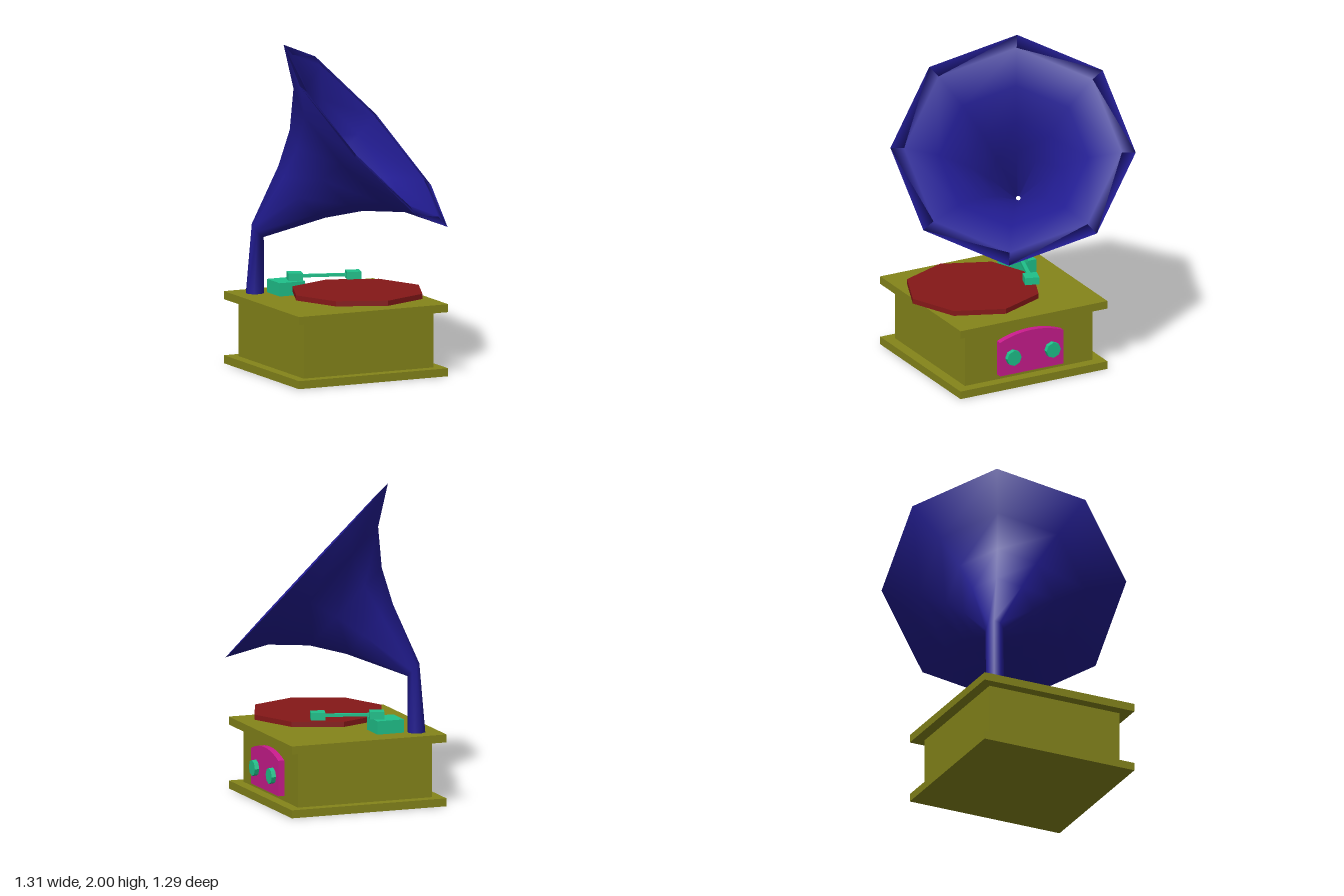
import * as THREE from 'three';

const mat = (color, flat = true) => new THREE.MeshStandardMaterial({ color, flatShading: flat });
const wood = mat(0x85851a), red = mat(0x851818), teal = mat(0x1fc08a), pink = mat(0xc81c8c);
const navy = mat(0x221c92, false);

// Box given by its extents on each axis
function box(name, [x0, x1], [y0, y1], [z0, z1], material) {
  const m = new THREE.Mesh(new THREE.BoxGeometry(x1 - x0, y1 - y0, z1 - z0), material);
  m.position.set((x0 + x1) / 2, (y0 + y1) / 2, (z0 + z1) / 2);
  m.name = name;
  return m;
}

// Eight-sided horn: upright stem, straight flared bell, flat lip and inner wall
function hornGeometry() {
  const sides = 8;
  const mouth = new THREE.Vector3(0.07, 1.44, 0);
  const axis = new THREE.Vector3(0.632, 0.67, 0.39).normalize();
  const u = new THREE.Vector3(-0.43, 0.56, -0.265);
  u.addScaledVector(axis, -u.dot(axis)).normalize();
  const v = axis.clone().cross(u);
  const upright = new THREE.Quaternion().setFromUnitVectors(axis, new THREE.Vector3(0, 1, 0));

  // [distance behind the mouth, radius], outside then back down the inside
  const bell = [
    [0.896, 0.055], [0.529, 0.216], [0.326, 0.337], [0.137, 0.5125], [0, 0.755],
    [0, 0.67], [0.11, 0.46], [0.30, 0.29], [0.51, 0.17], [0.86, 0.015],
  ];
  const rings = bell.map(([d, r]) => ({ c: mouth.clone().addScaledVector(axis, -d), r, u, v }));
  rings.unshift({
    c: new THREE.Vector3(-0.513, 0.45, -0.355), r: 0.056,
    u: u.clone().applyQuaternion(upright), v: v.clone().applyQuaternion(upright),
  });

  const pos = [], index = [];
  rings.forEach((ring, i) => {
    for (let j = 0; j < sides; j++) {
      const a = (j / sides) * Math.PI * 2;
      const p = ring.c.clone()
        .addScaledVector(ring.u, ring.r * Math.cos(a))
        .addScaledVector(ring.v, ring.r * Math.sin(a));
      pos.push(p.x, p.y, p.z);
      if (i === 0) continue;
      const k = (j + 1) % sides, lo = (i - 1) * sides, hi = i * sides;
      index.push(lo + j, lo + k, hi + k, lo + j, hi + k, hi + j);
    }
  });
  const g = new THREE.BufferGeometry();
  g.setAttribute('position', new THREE.Float32BufferAttribute(pos, 3));
  g.setIndex(index);
  g.computeVertexNormals();
  return g;
}

export function createModel() {
  const model = new THREE.Group();
  model.name = 'gramophone';

  // Cabinet
  const wide = [-0.655, 0.37], deep = [-0.497, 0.533];
  model.add(
    box('plinth', wide, [0, 0.05], deep, wood),
    box('cabinetBody', [-0.588, 0.302], [0.05, 0.4], [-0.43, 0.465], wood),
    box('cabinetTop', wide, [0.4, 0.45], deep, wood),
  );

  // Turntable platter
  const platter = new THREE.Mesh(new THREE.CylinderGeometry(0.421, 0.421, 0.032, 8), red);
  platter.position.set(-0.085, 0.505, 0.197);
  platter.name = 'platter';
  model.add(platter);

  // Arched control panel on the side
  const half = 0.2225, rise = 0.045, R = (half * half + rise * rise) / (2 * rise);
  const sweep = Math.asin(half / R);
  const shape = new THREE.Shape();
  shape.moveTo(-half, 0.083);
  shape.lineTo(half, 0.083);
  shape.absarc(0, 0.35 - R, R, Math.PI / 2 - sweep, Math.PI / 2 + sweep, false);
  const panel = new THREE.Mesh(
    new THREE.ExtrudeGeometry(shape, { depth: 0.042, bevelEnabled: false, curveSegments: 8 }), pink);
  panel.rotation.y = Math.PI / 2;
  panel.position.set(0.3, 0, 0.0175);
  panel.name = 'controlPanel';
  model.add(panel);

  // Knobs
  for (const z of [0.155, -0.12]) {
    const knob = new THREE.Mesh(new THREE.CylinderGeometry(0.05, 0.05, 0.04, 8), teal);
    knob.rotation.z = -Math.PI / 2;
    knob.position.set(0.351, 0.197, z);
    knob.name = 'knob';
    model.add(knob);
  }

  // Tone arm: fixed block carrying a swung arm with a head at each end
  model.add(box('toneArmBase', [-0.435, -0.26], [0.45, 0.533], [-0.345, -0.17], teal));
  const arm = new THREE.Group();
  arm.name = 'toneArm';
  const length = 0.364, s = 0.0445;
  arm.add(
    box('armPivot', [-s, s], [-0.023, 0.023], [-s, s], teal),
    box('armBar', [s, length - s], [-0.009, 0.009], [-0.012, 0.012], teal),
    box('armHead', [length - s, length + s], [-0.023, 0.023], [-s, s], teal),
  );
  arm.position.set(-0.295, 0.556, -0.245);
  arm.rotation.y = -Math.atan2(0.11, 0.3475);
  model.add(arm);

  // Horn
  const horn = new THREE.Mesh(hornGeometry(), navy);
  horn.name = 'horn';
  model.add(horn);

  return model;
}
